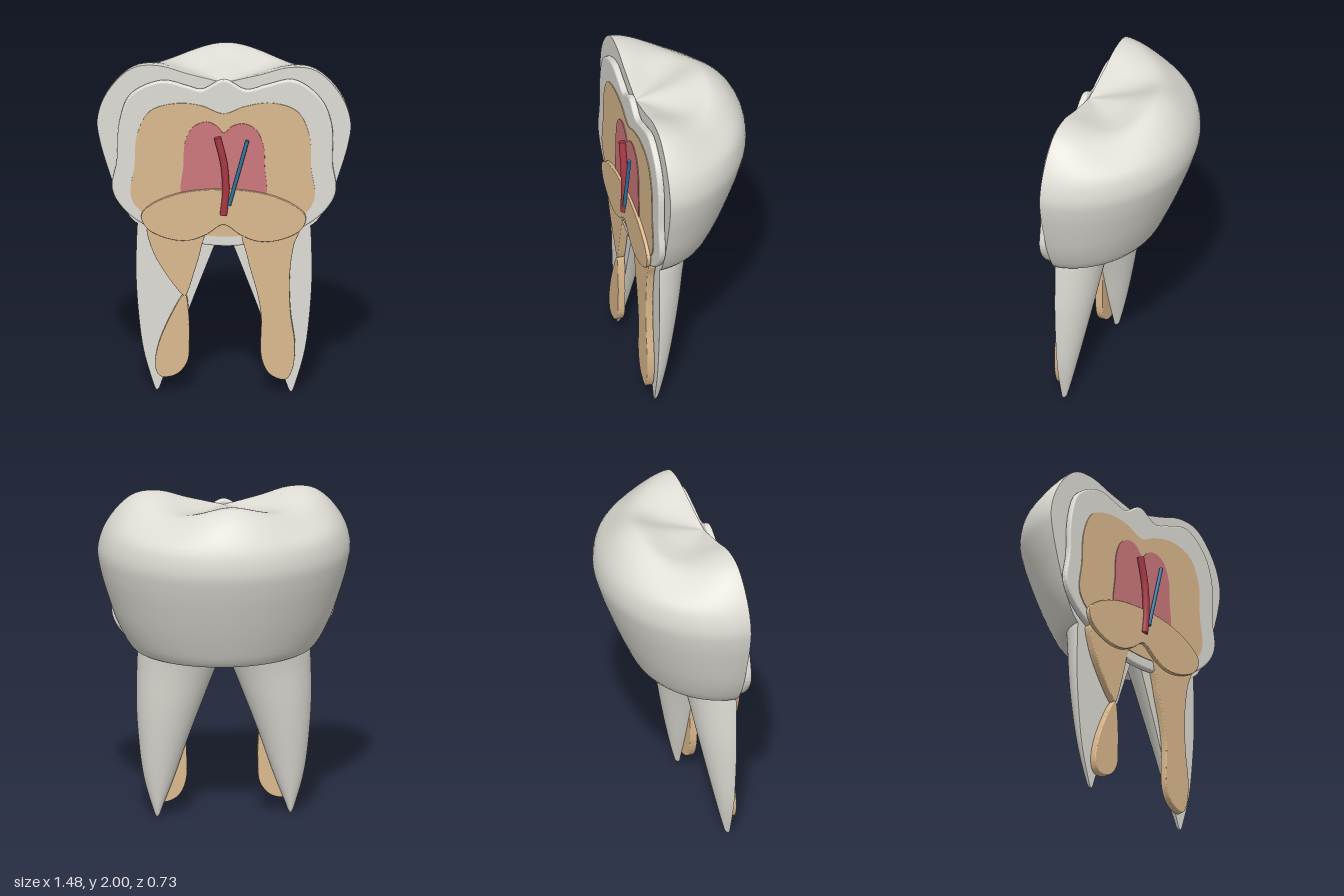
import * as THREE from 'three';

const CUT = 0.275; // z of the flat section face

const mat = (name, color, side = THREE.FrontSide) => {
  const m = new THREE.MeshStandardMaterial({ color, side });
  m.name = name;
  return m;
};

const v2 = (pts) => pts.map(([x, y]) => new THREE.Vector2(x, y));

// Smooth closed outline through a few points
function outline(pts) {
  const curve = new THREE.CatmullRomCurve3(pts.map(([x, y]) => new THREE.Vector3(x, y, 0)), true);
  return new THREE.Shape(curve.getPoints(pts.length * 6).slice(0, -1).map((p) => new THREE.Vector2(p.x, p.y)));
}

// Plate between two depths with an optional rounded edge
function plate(name, shape, z0, z1, material, bevel = 0) {
  const geo = new THREE.ExtrudeGeometry(shape, {
    depth: z1 - z0 - 2 * bevel, bevelEnabled: bevel > 0, bevelThickness: bevel,
    bevelSize: bevel, bevelOffset: -bevel, bevelSegments: 3,
  });
  geo.translate(0, 0, z0 + bevel);
  const mesh = new THREE.Mesh(geo, material);
  mesh.name = name;
  return mesh;
}

// Half-round body from rows [half width, y, depth], closed by a flat front face
function halfBody(name, rows, material, centre = () => 0, lift = () => 0) {
  const curve = new THREE.CatmullRomCurve3(rows.map((r) => new THREE.Vector3(...r)), false, 'centripetal');
  const U = 48, T = 56, pos = [], index = [], right = [], left = [];
  for (let i = 0; i <= U; i++) {
    const p = curve.getPoint(i / U);
    const w = Math.max(p.x, 0), d = Math.max(p.z, 0);
    for (let j = 0; j <= T; j++) {
      const t = (j / T) * Math.PI;
      const x = centre(p.y) + w * Math.cos(t), y = p.y + lift(p.y, w, t);
      pos.push(x, y, CUT - d * Math.pow(Math.max(Math.sin(t), 0), 1.1));
      if (j === 0) right.push([x, y]);
      if (j === T) left.unshift([x, y]);
      if (i < U && j < T) {
        const a = i * (T + 1) + j, c = a + T + 1;
        index.push(a, a + 1, c, a + 1, c + 1, c);
      }
    }
  }
  const geo = new THREE.BufferGeometry();
  geo.setAttribute('position', new THREE.Float32BufferAttribute(pos, 3));
  geo.setIndex(index);
  geo.computeVertexNormals();
  const face = new THREE.ShapeGeometry(new THREE.Shape(v2([...right, ...left.slice(1, -1)])));
  face.translate(0, 0, CUT);
  const group = new THREE.Group();
  group.name = name;
  const shell = new THREE.Mesh(geo, material);
  shell.name = name + 'Shell';
  const front = new THREE.Mesh(face, material);
  front.name = name + 'SectionFace';
  group.add(shell, front);
  return group;
}

function tube(name, pts, radius, material) {
  const group = new THREE.Group();
  group.name = name;
  const path = new THREE.CatmullRomCurve3(pts.map((p) => new THREE.Vector3(...p)));
  group.add(new THREE.Mesh(new THREE.TubeGeometry(path, 24, radius, 12), material));
  // Flat end caps
  for (const u of [0, 1]) {
    const cap = new THREE.Mesh(new THREE.CircleGeometry(radius, 12), material);
    cap.position.copy(path.getPoint(u));
    const dir = path.getTangent(u).multiplyScalar(u ? 1 : -1);
    cap.quaternion.setFromUnitVectors(new THREE.Vector3(0, 0, 1), dir);
    group.add(cap);
  }
  group.children.forEach((m, i) => { m.name = name + (i ? 'End' : 'Tube'); });
  return group;
}

export function createModel() {
  const model = new THREE.Group();
  model.name = 'toothSection';
  const enamel = mat('enamel', 0xdedcd4, THREE.DoubleSide);
  const dentin = mat('dentin', 0xdbb98e);
  const pulp = mat('pulp', 0xcd787c);
  const red = mat('arteryRed', 0xa83844);
  const blue = mat('veinBlue', 0x2f74a0);

  // Crown with a side cusp left and right, one at the back and a central pit
  model.add(halfBody('crown', [
    [0, 1.02, 0], [0.44, 1.02, 0.34], [0.52, 1.035, 0.4], [0.61, 1.18, 0.475],
    [0.685, 1.39, 0.56], [0.728, 1.55, 0.615], [0.74, 1.66, 0.64], [0.705, 1.79, 0.622],
    [0.61, 1.925, 0.54], [0.51, 1.993, 0.45], [0.38, 2.0, 0.38], [0.22, 1.955, 0.24], [0, 1.9, 0],
  ], enamel, () => 0, (y, w, t) =>
    -0.065 * (0.5 - 0.5 * Math.cos(4 * t)) * THREE.MathUtils.smoothstep(y, 1.75, 1.97) * Math.min(w / 0.35, 1)));

  // Two tapering roots
  for (const side of [-1, 1]) {
    model.add(halfBody(side < 0 ? 'rightRoot' : 'leftRoot', [
      [0, 0, 0], [0.012, 0.015, 0.02], [0.028, 0.06, 0.035], [0.09, 0.25, 0.078], [0.148, 0.5, 0.128],
      [0.195, 0.72, 0.168], [0.23, 0.91, 0.2], [0.25, 1.02, 0.225], [0.26, 1.12, 0.26],
    ], enamel, (y) => side * (0.39 - 0.13 * Math.pow(Math.max(y, 0), 1.8))));
  }

  // Layers of the section, from back to front
  model.add(plate('enamelLayer', outline([
    [0, 1.93], [-0.13, 1.866], [-0.21, 1.885], [-0.36, 1.917], [-0.545, 1.83], [-0.61, 1.66],
    [-0.625, 1.42], [-0.65, 1.24], [-0.55, 1.09], [-0.3, 0.955], [0, 0.905], [0.3, 0.955],
    [0.55, 1.09], [0.652, 1.24], [0.635, 1.42], [0.63, 1.66], [0.565, 1.82], [0.41, 1.932],
    [0.25, 1.9], [0.13, 1.868],
  ]), 0.277, 0.317, enamel, 0.012));

  model.add(plate('crownDentin', outline([
    [0, 1.725], [-0.13, 1.772], [-0.27, 1.785], [-0.43, 1.735], [-0.505, 1.59], [-0.52, 1.4],
    [-0.54, 1.2], [-0.45, 1.09], [-0.25, 1.0], [0, 0.968], [0.25, 1.0], [0.45, 1.09],
    [0.53, 1.21], [0.51, 1.4], [0.5, 1.6], [0.43, 1.745], [0.28, 1.795], [0.12, 1.77],
  ]), 0.313, 0.322, dentin));

  model.add(plate('pulpChamber', outline([
    [0, 1.608], [-0.04, 1.65], [-0.1, 1.675], [-0.18, 1.64], [-0.225, 1.55], [-0.235, 1.4],
    [-0.25, 1.23], [-0.2, 1.1], [0, 1.07], [0.2, 1.1], [0.25, 1.23], [0.24, 1.4],
    [0.235, 1.52], [0.19, 1.63], [0.115, 1.667], [0.05, 1.65],
  ]), 0.32, 0.327, pulp));

  // Root dentin: a twisted strip on one side, a plain one on the other
  const strip = (name, pts) => model.add(plate(name, outline(pts), 0.277, 0.321, dentin, 0.006));
  strip('rightRootDentinUpper', [
    [-0.44, 1.03], [-0.425, 0.9], [-0.35, 0.75], [-0.235, 0.6], [-0.222, 0.6],
    [-0.17, 0.75], [-0.13, 0.9], [-0.115, 1.03],
  ]);
  strip('rightRootDentinLower', [
    [-0.235, 0.6], [-0.32, 0.45], [-0.385, 0.28], [-0.4, 0.16], [-0.37, 0.1], [-0.28, 0.11],
    [-0.212, 0.19], [-0.2, 0.33], [-0.205, 0.5], [-0.222, 0.6],
  ]);
  strip('leftRootDentin', [
    [0.44, 1.03], [0.41, 0.92], [0.385, 0.73], [0.39, 0.5], [0.415, 0.3], [0.4, 0.15],
    [0.36, 0.09], [0.27, 0.12], [0.22, 0.22], [0.218, 0.48], [0.195, 0.62], [0.14, 0.83], [0.115, 1.03],
  ]);

  // Arched band across the neck
  model.add(plate('neckBand', outline([
    [0, 1.265], [-0.25, 1.238], [-0.42, 1.165], [-0.48, 1.1], [-0.45, 1.02], [-0.32, 0.955],
    [-0.2, 0.947], [-0.1, 0.985], [0, 1.047], [0.1, 0.985], [0.2, 0.947], [0.32, 0.955],
    [0.45, 1.02], [0.48, 1.1], [0.42, 1.165], [0.25, 1.238],
  ]), 0.318, 0.343, dentin, 0.004));

  // Blood vessels
  model.add(tube('artery', [
    [0, 1.11, 0.345], [0.013, 1.25, 0.345], [0.003, 1.42, 0.345], [-0.035, 1.585, 0.345],
  ], 0.021, red));
  model.add(tube('vein', [[0.033, 1.17, 0.351], [0.087, 1.372, 0.351], [0.14, 1.572, 0.351]], 0.011, blue));

  return model;
}
